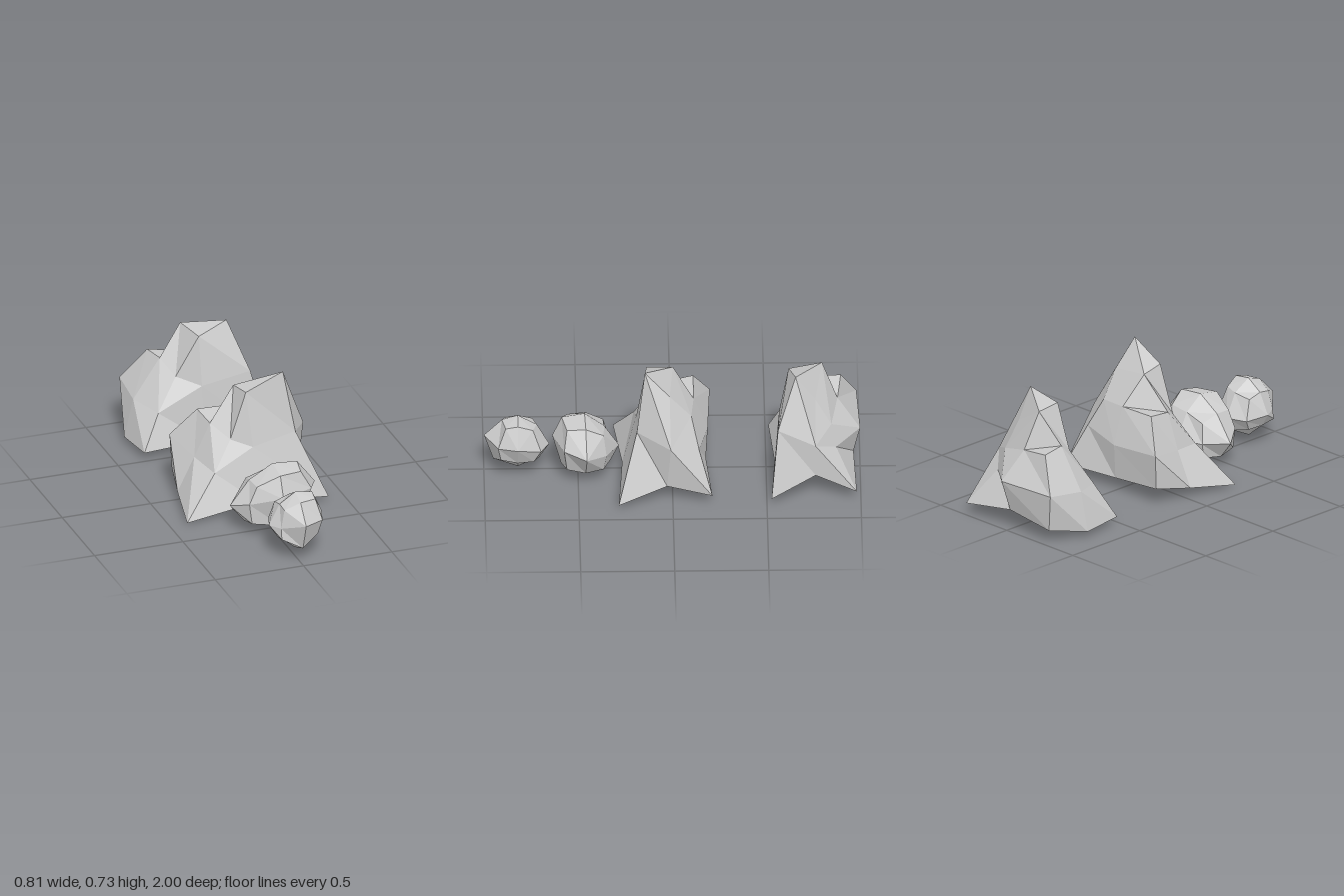
import * as THREE from 'three';

// Faceted rock skinned over three eight-point rings (foot, waist, crown), a centre point closing each end.
// Ring order, seen from above: front-left corner, front, front-right, right, back-right, back, back-left, left
function rock(name, rings, bottomCentre, topCentre) {
  const pos = [];
  // Each quad is split along its b-d diagonal
  const quad = (a, b, c, d) => pos.push(...a, ...b, ...d, ...b, ...c, ...d);
  const [foot, waist, crown] = rings;
  for (let i = 0; i < 8; i++) {
    const n = (i + 1) % 8;
    quad(foot[i], foot[n], waist[n], waist[i]);
    // The upper back-right side folds inward
    if (i === 3) quad(waist[n], crown[n], crown[i], waist[i]);
    else quad(waist[i], waist[n], crown[n], crown[i]);
  }
  for (let i = 0; i < 8; i += 2) {
    const p = (i + 7) % 8;
    // The back-left crown corner forms a ledge
    if (i === 6) quad(crown[i], crown[i + 1], topCentre, crown[p]);
    else quad(crown[p], crown[i], crown[i + 1], topCentre);
    quad(bottomCentre, foot[i + 1], foot[i], foot[p]);
  }
  const geo = new THREE.BufferGeometry();
  geo.setAttribute('position', new THREE.Float32BufferAttribute(pos, 3));
  geo.computeVertexNormals();
  const mesh = new THREE.Mesh(geo, new THREE.MeshStandardMaterial({ color: 0xcccccc, flatShading: true }));
  mesh.name = name;
  return mesh;
}

export function createModel() {
  const group = new THREE.Group();
  group.name = 'rocks';

  // Tall crag in the middle
  group.add(rock('middleCrag', [
    [[-0.405, 0.012, 0.308], [0.01, 0.05, 0.265], [0.402, 0.03, 0.288], [0.325, 0.1, 0.03],
      [0.36, 0.06, -0.21], [0.01, 0.07, -0.18], [-0.31, 0.1, -0.19], [-0.355, 0.06, 0.02]],
    [[-0.21, 0.225, 0.2], [0.01, 0.34, 0.19], [0.25, 0.395, 0.19], [0.36, 0.35, 0.01],
      [0.26, 0.29, -0.14], [0.01, 0.26, -0.19], [-0.318, 0.293, -0.205], [-0.26, 0.25, 0.02]],
    [[-0.1, 0.38, 0.14], [-0.01, 0.64, 0.135], [0.195, 0.735, 0.147], [0.205, 0.59, 0.015],
      [0.18, 0.45, -0.1], [0.02, 0.457, -0.115], [-0.195, 0.462, -0.115], [-0.175, 0.44, 0.03]],
  ], [0.015, 0.045, 0.03], [-0.03, 0.625, -0.005]));

  // Tall crag at the back
  group.add(rock('backCrag', [
    [[-0.345, 0.045, -0.517], [0.01, 0.05, -0.545], [0.365, 0.04, -0.525], [0.3, 0.145, -0.76],
      [0.33, 0.06, -0.978], [0.01, 0.11, -0.965], [-0.29, 0.077, -0.97], [-0.37, 0.036, -0.76]],
    [[-0.24, 0.23, -0.59], [0.0, 0.36, -0.57], [0.27, 0.41, -0.56], [0.3, 0.33, -0.76],
      [0.2, 0.26, -0.87], [0.04, 0.275, -1.0], [-0.315, 0.28, -0.985], [-0.32, 0.25, -0.76]],
    [[-0.12, 0.4, -0.65], [0.0, 0.63, -0.62], [0.17, 0.685, -0.655], [0.15, 0.53, -0.76],
      [0.17, 0.385, -0.845], [-0.01, 0.435, -0.88], [-0.19, 0.462, -0.9], [-0.17, 0.47, -0.76]],
  ], [0.015, 0.005, -0.76], [-0.04, 0.64, -0.798]));

  // Wide rounded boulder
  group.add(rock('wideBoulder', [
    [[-0.13, 0.075, 0.56], [0.02, 0.055, 0.59], [0.15, 0.095, 0.56], [0.155, 0.075, 0.46],
      [0.14, 0.09, 0.365], [0.02, 0.08, 0.322], [-0.11, 0.065, 0.36], [-0.14, 0.055, 0.46]],
    [[-0.145, 0.19, 0.56], [0.02, 0.23, 0.637], [0.2, 0.24, 0.575], [0.262, 0.22, 0.455],
      [0.165, 0.19, 0.35], [0.01, 0.16, 0.282], [-0.12, 0.15, 0.34], [-0.218, 0.15, 0.455]],
    [[-0.1, 0.285, 0.555], [0.02, 0.345, 0.587], [0.145, 0.34, 0.56], [0.16, 0.355, 0.46],
      [0.135, 0.3, 0.365], [0.02, 0.29, 0.362], [-0.095, 0.255, 0.365], [-0.11, 0.29, 0.46]],
  ], [0.015, 0.005, 0.465], [0.02, 0.367, 0.465]));

  // Small rounded boulder at the very front
  group.add(rock('smallBoulder', [
    [[-0.088, 0.13, 0.905], [0.015, 0.083, 0.95], [0.113, 0.135, 0.91], [0.113, 0.115, 0.82],
      [0.1, 0.115, 0.735], [0.015, 0.09, 0.705], [-0.07, 0.11, 0.735], [-0.085, 0.115, 0.82]],
    [[-0.088, 0.19, 0.895], [0.015, 0.232, 1.0], [0.135, 0.22, 0.925], [0.168, 0.225, 0.82],
      [0.12, 0.19, 0.697], [0.015, 0.175, 0.652], [-0.09, 0.17, 0.7], [-0.13, 0.185, 0.82]],
    [[-0.066, 0.29, 0.885], [0.018, 0.33, 0.905], [0.108, 0.33, 0.885], [0.113, 0.345, 0.82],
      [0.095, 0.31, 0.74], [0.018, 0.3, 0.72], [-0.07, 0.28, 0.74], [-0.07, 0.3, 0.82]],
  ], [0.015, 0.033, 0.82], [0.018, 0.358, 0.82]));

  return group;
}
